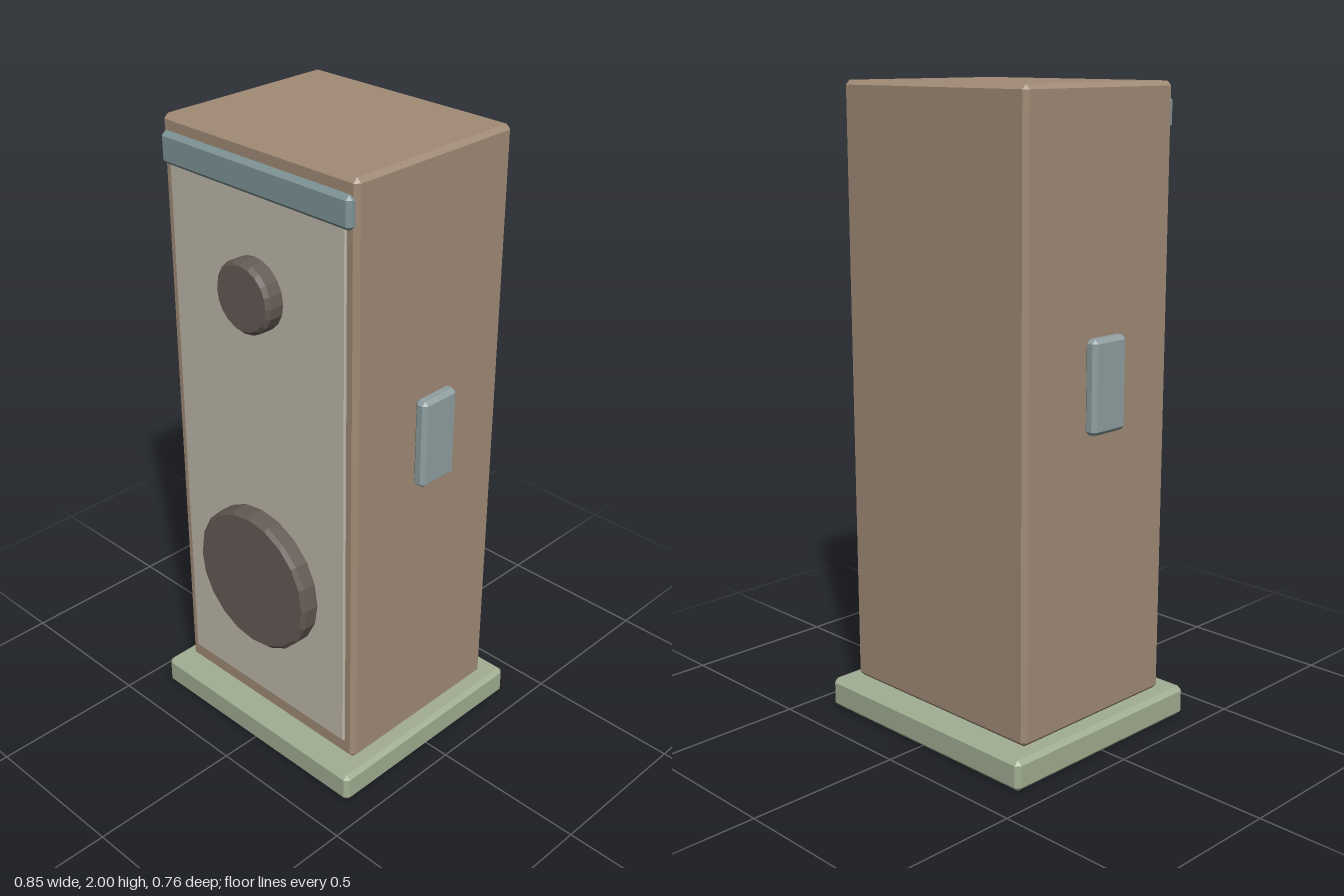
import * as THREE from 'three';
import { ConvexGeometry } from 'three/addons/geometries/ConvexGeometry.js';

const mat = (name, color) => {
  const m = new THREE.MeshStandardMaterial({ color });
  m.name = name;
  return m;
};

// Box with a single flat chamfer on every edge, given by its limits
function chamferBox(min, max, bevel) {
  const half = min.map((v, i) => (max[i] - v) / 2);
  const points = [];
  for (const sx of [-1, 1]) for (const sy of [-1, 1]) for (const sz of [-1, 1]) {
    for (let axis = 0; axis < 3; axis++) {
      // each corner becomes three points, one on each adjoining face
      const p = [sx, sy, sz].map((s, i) => s * (half[i] - (i === axis ? 0 : bevel)));
      points.push(new THREE.Vector3(...p));
    }
  }
  const geo = new ConvexGeometry(points);
  geo.translate(...min.map((v, i) => (v + max[i]) / 2));
  return geo;
}

// Faceted disc facing +z with a chamfered front rim
function disc(radius, depth, bevel, sides) {
  const profile = [[0, 0], [radius, 0], [radius, depth - bevel], [radius - bevel, depth], [0, depth]]
    .map(([x, y]) => new THREE.Vector2(x, y));
  const geo = new THREE.LatheGeometry(profile, sides).rotateX(Math.PI / 2).toNonIndexed();
  geo.computeVertexNormals();
  return geo;
}

export function createModel() {
  const group = new THREE.Group();
  group.name = 'floorSpeaker';

  const brown = mat('brown cabinet', 0xa08b76);
  const green = mat('sage base', 0xa1ae92);
  const cream = mat('cream panel', 0xbfb8aa);
  const dark = mat('dark driver', 0x655b55);
  const steel = mat('blue grey trim', 0x7f9497);
  const pale = mat('pale blue grey grip', 0x8f9e9f);

  const add = (name, geo, material) => {
    const mesh = new THREE.Mesh(geo, material);
    mesh.name = name;
    group.add(mesh);
    return mesh;
  };

  // Plinth and cabinet
  add('base', chamferBox([-0.425, 0, -0.38], [0.425, 0.097, 0.38], 0.014), green);
  add('cabinet', chamferBox([-0.38, 0.1, -0.309], [0.38, 2, 0.307], 0.014), brown);

  // Front panel and the trim strip over its top edge
  add('frontPanel', chamferBox([-0.345, 0.16, 0.29], [0.345, 1.9, 0.314], 0.003), cream);
  add('topStrip', chamferBox([-0.37, 1.86, 0.29], [0.37, 1.955, 0.326], 0.012), steel);

  // Drivers
  add('woofer', disc(0.235, 0.07, 0.012, 20), dark).position.set(0, 0.623, 0.3);
  add('tweeter', disc(0.11, 0.07, 0.012, 20), dark).position.set(0, 1.573, 0.3);

  // Side grips
  for (const [name, x] of [['leftGrip', 0.402], ['rightGrip', -0.402]]) {
    add(name, chamferBox([-0.022, 1.005, -0.07], [0.022, 1.288, 0.07], 0.012), pale).position.x = x;
  }

  return group;
}
